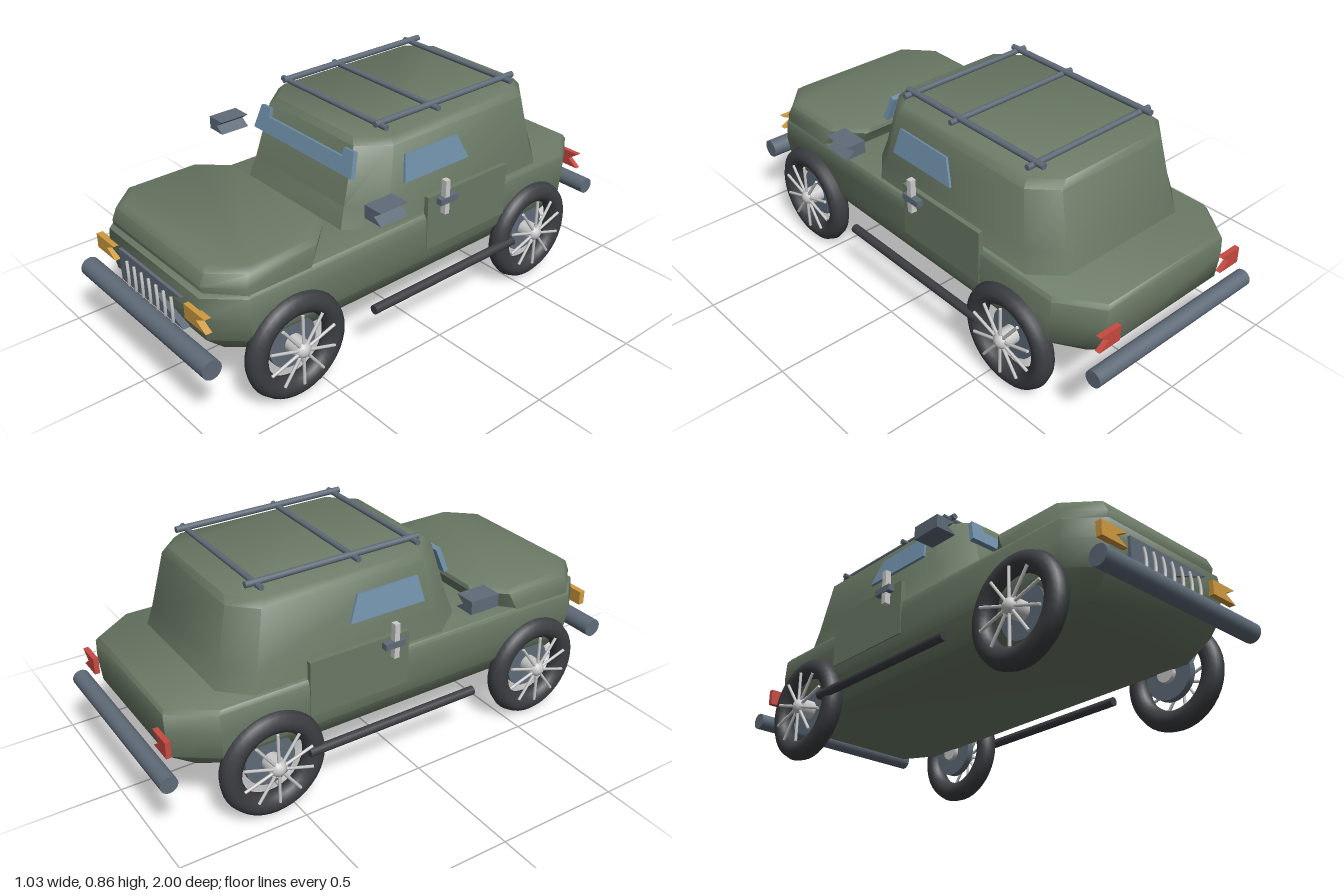
import * as THREE from 'three';
import { toCreasedNormals } from 'three/addons/utils/BufferGeometryUtils.js';

const mat = (color) => new THREE.MeshStandardMaterial({ color, side: THREE.DoubleSide });

export function createModel() {
  const root = new THREE.Group();
  const paint = mat(0x6b7a66), steel = mat(0x5f6b78), rubber = mat(0x3c3e42), glass = mat(0x6f8fa8);
  const amber = mat(0xd09a40), red = mat(0xc84a40), grey = mat(0xcccccc);

  function add(name, geometry, material, x = 0, y = 0, z = 0, parent = root) {
    const mesh = new THREE.Mesh(geometry, material);
    mesh.name = name;
    mesh.position.set(x, y, z);
    parent.add(mesh);
    return mesh;
  }

  // Closed shell through stacked octagons: [y, halfWidth, zFront, zBack, chamferX, chamferZfront, chamferZback]
  function shell(rings) {
    const p = [], index = [];
    for (const [y, w, f, b, cx, cf, cb] of rings) {
      const quarter = [[w, f - cf], [w, b + cb], [w - cx, b], [cx - w, b], [-w, b + cb], [-w, f - cf], [cx - w, f], [w - cx, f]];
      for (const [x, z] of quarter) p.push(x, y, z);
    }
    for (let r = 0; r < rings.length - 1; r++) {
      for (let i = 0; i < 8; i++) {
        const a = r * 8 + i, b = r * 8 + (i + 1) % 8;
        index.push(a, b, b + 8, a, b + 8, a + 8);
      }
    }
    const t = (rings.length - 1) * 8;
    for (let i = 1; i < 7; i++) index.push(0, i + 1, i, t, t + i, t + i + 1);
    const g = new THREE.BufferGeometry();
    g.setAttribute('position', new THREE.Float32BufferAttribute(p, 3));
    g.setIndex(index);
    return toCreasedNormals(g, 0.85);
  }

  function plate(points, depth) {
    const shape = new THREE.Shape(points.map(([x, y]) => new THREE.Vector2(x, y)));
    return new THREE.ExtrudeGeometry(shape, { depth, bevelEnabled: false }).translate(0, 0, -depth / 2);
  }

  // Block with a V cut into its +x end
  const notched = (w, h, d) => plate([[-w / 2, -h / 2], [w / 2, -h / 2], [0.06 * w, 0], [w / 2, h / 2], [-w / 2, h / 2]], d);
  const rodX = (r, l, n = 16) => new THREE.CylinderGeometry(r, r, l, n).rotateZ(Math.PI / 2);
  const rodZ = (r, l, n = 16) => new THREE.CylinderGeometry(r, r, l, n).rotateX(Math.PI / 2);

  // Body shells
  add('body', shell([
    [0.215, 0.35, 0.82, -0.81, 0.08, 0.10, 0.13],
    [0.30, 0.405, 0.905, -0.915, 0.11, 0.12, 0.15],
    [0.40, 0.41, 0.925, -0.925, 0.11, 0.12, 0.155],
    [0.475, 0.405, 0.92, -0.925, 0.11, 0.12, 0.155],
    [0.49, 0.395, 0.90, -0.915, 0.11, 0.12, 0.155],
  ]), paint);
  add('hood', shell([
    [0.475, 0.40, 0.90, 0.44, 0.11, 0.11, 0.10],
    [0.51, 0.395, 0.91, 0.42, 0.11, 0.11, 0.10],
    [0.555, 0.385, 0.89, 0.39, 0.10, 0.11, 0.11],
    [0.57, 0.36, 0.87, 0.395, 0.10, 0.11, 0.11],
  ]), paint);
  add('cabin', shell([
    [0.48, 0.382, 0.31, -0.725, 0.10, 0.13, 0.10],
    [0.57, 0.367, 0.28, -0.70, 0.10, 0.13, 0.10],
    [0.785, 0.337, 0.218, -0.65, 0.09, 0.11, 0.09],
    [0.81, 0.31, 0.20, -0.635, 0.09, 0.10, 0.09],
  ]), paint);

  // Windscreen, dipped along the middle of its top edge
  const screen = add('windscreen', plate([
    [-0.29, -0.048], [0.29, -0.048], [0.272, 0.048], [0.218, 0.048], [0.218, 0.014],
    [-0.218, 0.014], [-0.218, 0.048], [-0.272, 0.048]], 0.02), glass, 0, 0.728, 0.243);
  screen.rotation.x = -0.3;

  // Front face
  add('grille', notched(0.41, 0.13, 0.03), steel, -0.005, 0.37, 0.92);
  for (let i = 0; i < 7; i++) {
    const x = -0.15 + i * 0.049;
    const curve = new THREE.QuadraticBezierCurve3(
      new THREE.Vector3(x, 0.31, 0.94), new THREE.Vector3(x + 0.014, 0.36, 0.945), new THREE.Vector3(x, 0.412, 0.94));
    add('grilleBar', new THREE.TubeGeometry(curve, 8, 0.006, 8), grey);
  }
  add('frontBumper', rodX(0.038, 0.82, 24), steel, 0, 0.273, 0.962);
  add('rearBumper', rodX(0.033, 0.80, 24), steel, 0, 0.27, -0.967);
  for (const x of [-0.297, 0.293]) add('headlight', notched(0.127, 0.058, 0.025), amber, x, 0.403, 0.93);
  for (const x of [-0.317, 0.313]) add('tailLight', notched(0.10, 0.065, 0.02), red, x, 0.383, -0.945);
  for (const x of [-0.473, 0.473]) add('mirror', notched(0.085, 0.052, 0.125), steel, x, 0.64, 0.262);

  for (const s of [-1, 1]) {
    // Side window, leaning with the cabin wall
    const lean = new THREE.Group();
    lean.name = 'sideWindow';
    lean.position.set(s * 0.366, 0.697, 0);
    lean.rotation.z = s * 0.22;
    root.add(lean);
    const pane = plate([[-0.09, -0.053], [0.233, -0.053], [0.19, 0.047], [-0.07, 0.05]], 0.01);
    add('pane', pane.rotateY(Math.PI / 2), glass, 0, 0, 0, lean);

    // Door with its handle
    add('door', new THREE.BoxGeometry(0.02, 0.22, 0.42), paint, s * 0.402, 0.455, -0.21);
    add('handleGrip', new THREE.BoxGeometry(0.024, 0.14, 0.022), grey, s * 0.428, 0.555, -0.072);
    add('handleBar', new THREE.BoxGeometry(0.026, 0.025, 0.085), steel, s * 0.43, 0.543, -0.08);
    add('runningBoard', rodZ(0.018, 0.74), rubber, s * 0.445, 0.222, -0.08);

    // Wheels
    for (const z of [0.62, -0.58]) {
      const wheel = new THREE.Group();
      wheel.name = 'wheel';
      wheel.position.set(s * 0.41, 0.21, z);
      root.add(wheel);
      add('tyre', new THREE.TorusGeometry(0.168, 0.041, 10, 40).rotateY(Math.PI / 2), rubber, 0, 0, 0, wheel);
      add('brakeDisc', rodX(0.1, 0.03, 28), steel, -s * 0.03, 0, 0, wheel);
      add('axle', rodX(0.036, 0.11), grey, -s * 0.01, 0, 0, wheel);
      add('hub', new THREE.SphereGeometry(0.033, 16, 12), grey, s * 0.034, 0, 0, wheel);
      for (let i = 0; i < 10; i++) {
        const a = (i / 10) * Math.PI * 2;
        const spoke = add('spoke', new THREE.CylinderGeometry(0.006, 0.006, 0.145, 8), grey,
          s * 0.045, Math.cos(a) * 0.0725, Math.sin(a) * 0.0725, wheel);
        spoke.rotation.x = a;
      }
    }

    // Roof rack rail
    add('rackRail', rodZ(0.012, 0.715), steel, s * 0.265, 0.85, -0.223);
  }
  for (const z of [0.11, -0.147, -0.537]) add('rackBar', rodX(0.011, 0.605), steel, 0, 0.842, z);

  return root;
}
